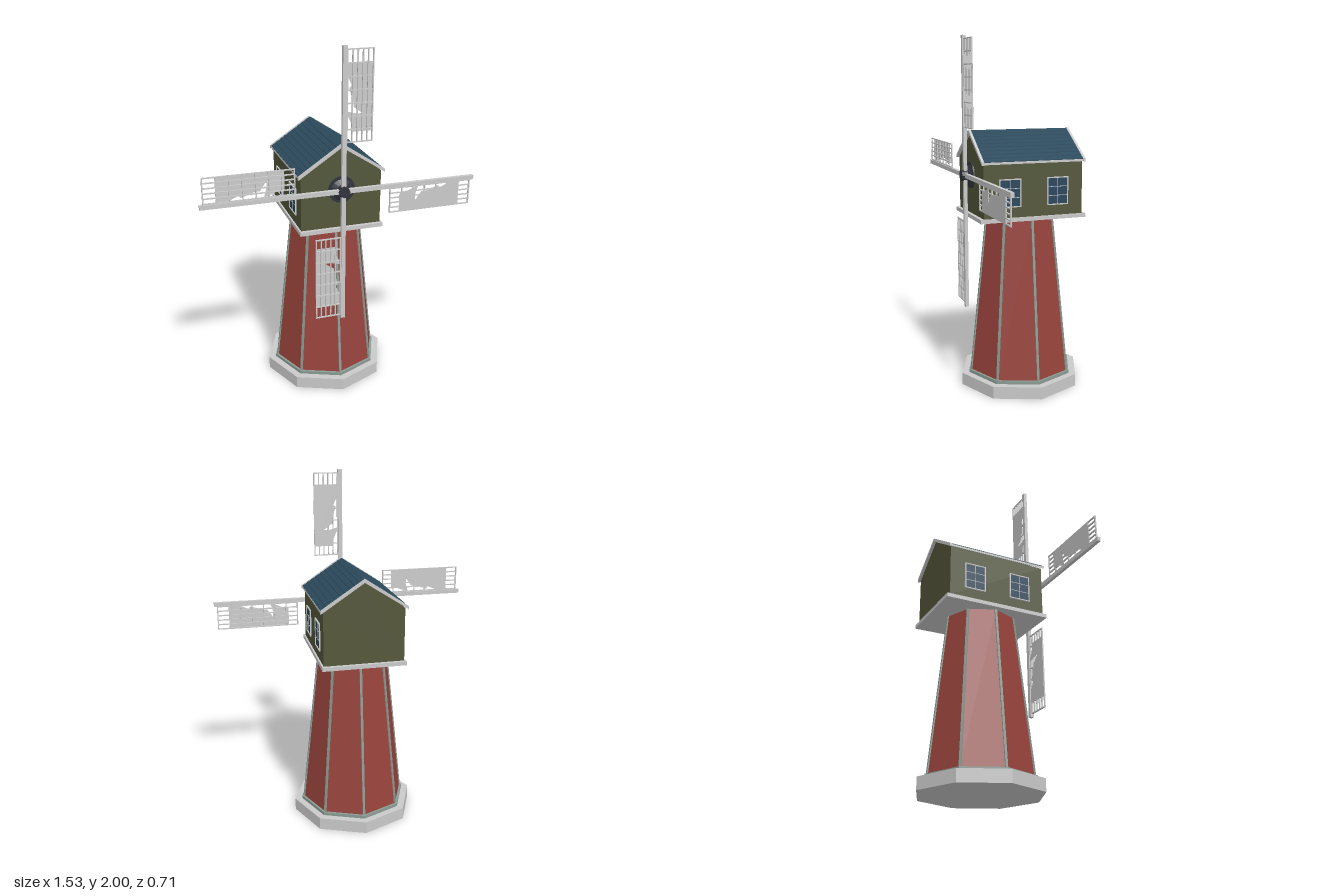
import * as THREE from 'three';

const mat = (name, color, extra = {}) => {
  const m = new THREE.MeshStandardMaterial({ color, flatShading: true, ...extra });
  m.name = name;
  return m;
};

export function createModel() {
  const M = {
    stone: mat('pale grey', 0xcacaca),
    sail: mat('sail grey', 0xcbcbcb, { side: THREE.DoubleSide }),
    red: mat('brick red', 0x98433c),
    trim: mat('grey green trim', 0x8b9c95),
    olive: mat('olive green', 0x54573a),
    roof: mat('slate blue', 0x2c4a5d),
    glass: mat('window blue', 0x28465c),
    iron: mat('dark iron', 0x30353c),
  };
  const model = new THREE.Group();
  model.name = 'windmill';

  const add = (parent, name, geo, material, x = 0, y = 0, z = 0) => {
    const mesh = new THREE.Mesh(geo, material);
    mesh.name = name;
    mesh.position.set(x, y, z);
    parent.add(mesh);
    return mesh;
  };
  const box = (parent, name, material, w, h, d, x, y, z) =>
    add(parent, name, new THREE.BoxGeometry(w, h, d), material, x, y, z);
  const octagon = (name, material, rTop, rBottom, y0, y1) =>
    add(model, name, new THREE.CylinderGeometry(rTop, rBottom, y1 - y0, 8), material, 0, (y0 + y1) / 2, 0);
  // Outline in x,y pushed along z from z0 to z1
  const extrude = (name, material, points, z0, z1) => {
    const shape = new THREE.Shape(points.map(([x, y]) => new THREE.Vector2(x, y)));
    const geo = new THREE.ExtrudeGeometry(shape, { depth: z1 - z0, bevelEnabled: false });
    return add(model, name, geo, material, 0, 0, z0);
  };

  // Tower with its base
  octagon('base', M.stone, 0.357, 0.357, 0, 0.07);
  octagon('baseTrim', M.trim, 0.315, 0.315, 0.07, 0.088);
  octagon('tower', M.red, 0.202, 0.302, 0.08, 1.0);

  // Strips along the eight tower corners
  const lean = Math.atan(0.1 / 0.92);
  for (let i = 0; i < 8; i++) {
    const corner = new THREE.Group();
    corner.name = 'cornerTrim';
    corner.rotation.y = (i * Math.PI) / 4;
    const strip = box(corner, 'strip', M.trim, 0.014, 0.925, 0.012, 0, 0.54, 0.25);
    strip.rotation.x = -lean;
    model.add(corner);
  }

  // Cabin
  box(model, 'platform', M.stone, 0.47, 0.022, 0.62, 0, 1.01, 0);
  extrude('cabin', M.olive,
    [[-0.225, 1.02], [0.225, 1.02], [0.225, 1.32], [0, 1.47], [-0.225, 1.32]], -0.29, 0.29);

  // Chevron outline shared by the roof layers
  const chevron = (half, eave, apex, thick) =>
    [[-half, eave], [-half, eave - thick], [0, apex - thick], [half, eave - thick], [half, eave], [0, apex]];
  extrude('roofBoards', M.stone, chevron(0.238, 1.328, 1.481, 0.012), -0.29, 0.29);
  for (const s of [-1, 1]) {
    const z = s * 0.297;
    extrude('rakeBoard', M.stone, chevron(0.241, 1.332, 1.492, 0.018), z - 0.007, z + 0.007);
  }

  // Shingles, laid in stepped courses
  const courses = 9, right = [];
  for (let i = 0; i < courses; i++) {
    const y = (t) => 1.33 + 0.157 * t;
    const t0 = i / courses, t1 = (i + 1) / courses;
    right.push([0.237 * (1 - t0), y(t0) + 0.003], [0.237 * (1 - t1), y(t1)]);
  }
  const left = right.slice(0, -1).reverse().map(([x, y]) => [-x, y]);
  extrude('shingles', M.roof, [[0.237, 1.327], ...right, ...left, [-0.237, 1.327], [0, 1.479]], -0.29, 0.29);

  // Two windows on each side wall
  for (const side of [-1, 1]) {
    for (const z of [-0.14, 0.14]) {
      const win = new THREE.Group();
      win.name = 'window';
      win.position.set(side * 0.225, 1.157, z);
      win.rotation.y = (side * Math.PI) / 2;
      box(win, 'pane', M.glass, 0.12, 0.15, 0.004, 0, 0, 0.002);
      for (const s of [-1, 1]) {
        box(win, 'frameSide', M.stone, 0.006, 0.156, 0.008, s * 0.06, 0, 0.004);
        box(win, 'frameRail', M.stone, 0.126, 0.006, 0.008, 0, s * 0.075, 0.004);
        box(win, 'glazingBar', M.stone, 0.114, 0.003, 0.003, 0, s * 0.025, 0.004);
      }
      box(win, 'glazingBar', M.stone, 0.003, 0.144, 0.003, 0, 0, 0.004);
      model.add(win);
    }
  }

  // Hub
  const rotor = new THREE.Group();
  rotor.name = 'rotor';
  rotor.position.set(0, 1.237, 0.325);
  model.add(rotor);
  const hubPart = (name, rFront, rBack, z0, z1, sides) => {
    const part = add(rotor, name, new THREE.CylinderGeometry(rFront, rBack, z1 - z0, sides), M.iron, 0, 0, (z0 + z1) / 2);
    part.rotation.x = Math.PI / 2;
  };
  hubPart('hubPlate', 0.075, 0.075, -0.036, -0.026, 16);
  hubPart('hubCone', 0.035, 0.06, -0.026, -0.01, 16);
  hubPart('hubCap', 0.031, 0.031, -0.01, 0.024, 8);

  // Sail cloth with a ragged edge beside the spar
  const cloth = new THREE.ShapeGeometry(new THREE.Shape([
    [0.155, 0.32], [0.155, 0.675], [0.012, 0.675], [0.012, 0.62], [0.04, 0.56], [0.025, 0.55],
    [0.05, 0.475], [0.05, 0.45], [0.1, 0.415], [0.065, 0.415], [0.012, 0.43], [0.04, 0.36], [0.04, 0.32],
  ].map(([x, y]) => new THREE.Vector2(x, y))));

  // Four arms, each a spar with a lattice and cloth
  for (let k = 0; k < 4; k++) {
    const arm = new THREE.Group();
    arm.name = 'arm';
    arm.rotation.z = (-k * Math.PI) / 2;
    box(arm, 'spar', M.sail, 0.024, 0.763, 0.02, 0, 0.3815, 0);
    for (let i = 0; i <= 5; i++)
      box(arm, 'longBar', M.sail, 0.006, 0.48, 0.008, 0.015 + i * 0.0275, 0.505, 0);
    for (let i = 0; i <= 7; i++)
      box(arm, 'crossBar', M.sail, 0.146, 0.006, 0.008, 0.083, 0.267 + i * 0.068, 0);
    add(arm, 'cloth', cloth, M.sail, 0, 0, k === 1 ? 0.0045 : -0.0045);
    rotor.add(arm);
  }
  return model;
}
